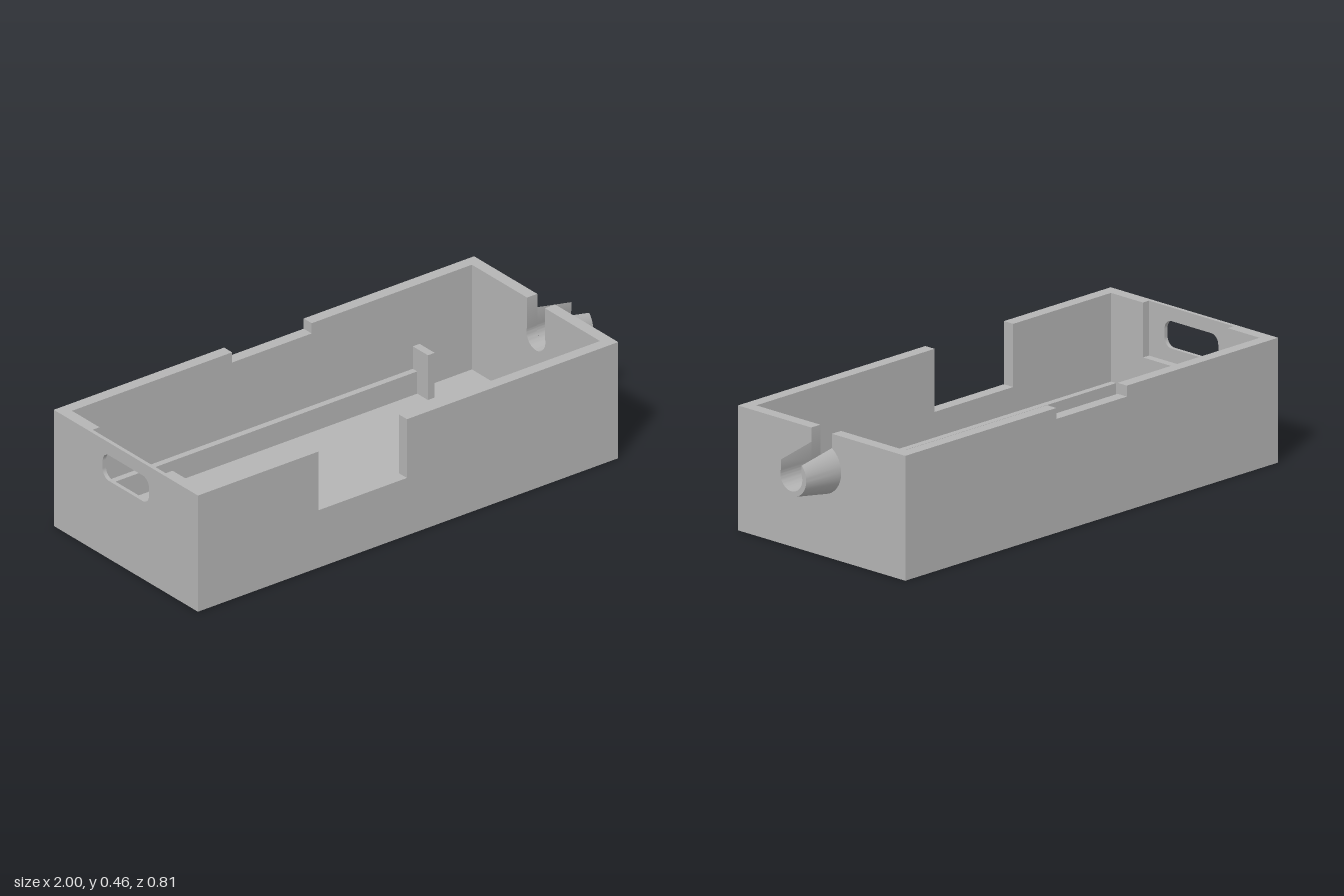
import * as THREE from 'three';
import { toCreasedNormals } from 'three/addons/utils/BufferGeometryUtils.js';

const X0 = -1, X1 = 0.85, H = 0.455, Z = 0.405, WALL = 0.045;
const IN = Z - WALL;                                   // inner half width
const BORE_Y = 0.322, BORE_R = 0.053, SLOT = 0.05;     // cable opening

const grey = new THREE.MeshStandardMaterial({ color: 0xb4b4b4 });
grey.name = 'plain grey';

function add(group, name, geometry) {
  const mesh = new THREE.Mesh(geometry, grey);
  mesh.name = name;
  group.add(mesh);
}

// Box given by its limits
function block(x0, x1, y0, y1, z0, z1) {
  return new THREE.BoxGeometry(x1 - x0, y1 - y0, z1 - z0)
    .translate((x0 + x1) / 2, (y0 + y1) / 2, (z0 + z1) / 2);
}

// Upright wall outline with a rectangular notch in its top edge
function notched(a, b, n0, n1, floorY) {
  return new THREE.Shape([[a, 0], [b, 0], [b, H], [n1, H], [n1, floorY], [n0, floorY], [n0, H], [a, H]]
    .map(([x, y]) => new THREE.Vector2(x, y)));
}

const extrude = (shape, depth) =>
  new THREE.ExtrudeGeometry(shape, { depth, bevelEnabled: false, curveSegments: 24 });

// Wall across the model, between x0 and x1
const endWall = (shape, x0, x1) => extrude(shape, x1 - x0).rotateY(Math.PI / 2).translate(x0, 0, 0);

// Rounded slot used as the end window
function roundedSlot(w, y0, y1, r) {
  const p = new THREE.Path();
  p.absarc(w - r, y0 + r, r, -Math.PI / 2, 0);
  p.absarc(w - r, y1 - r, r, 0, Math.PI / 2);
  p.absarc(-w + r, y1 - r, r, Math.PI / 2, Math.PI);
  p.absarc(-w + r, y0 + r, r, Math.PI, Math.PI * 1.5);
  p.closePath();
  return p;
}

// Tapered spout, cut open along its top by the cable slot
function spoutGeometry(x0, x1, r0, r1) {
  const N = 40, pos = [];
  const arc = (x, r) => Array.from({ length: N + 1 }, (_, i) => {
    const a = Math.asin(SLOT / r), t = a + (i / N) * 2 * (Math.PI - a);
    return [x, BORE_Y + r * Math.cos(t), r * Math.sin(t)];
  });
  const quad = (a, b, c, d) => pos.push(...a, ...b, ...c, ...a, ...c, ...d);
  const outA = arc(x0, r0), outB = arc(x1, r1);
  const inA = arc(x0, BORE_R), inB = arc(x1, BORE_R);
  for (let i = 0; i < N; i++) {
    quad(outA[i], outA[i + 1], outB[i + 1], outB[i]);
    quad(inA[i + 1], inA[i], inB[i], inB[i + 1]);
    quad(outB[i], outB[i + 1], inB[i + 1], inB[i]);
  }
  quad(outA[N], inA[N], inB[N], outB[N]);
  quad(inA[0], outA[0], outB[0], inB[0]);
  const g = new THREE.BufferGeometry();
  g.setAttribute('position', new THREE.Float32BufferAttribute(pos, 3));
  return toCreasedNormals(g, 0.5);
}

export function createModel() {
  const model = new THREE.Group();
  model.name = 'openCase';

  // Floor and long walls
  add(model, 'floor', block(X0 + WALL, X1 - WALL, 0, 0.045, -IN, IN));
  add(model, 'frontWall', extrude(notched(X0, X1, -0.47, -0.08, 0.225), WALL).translate(0, 0, IN));
  add(model, 'backWall', extrude(notched(X0, X1, -0.25, 0.1, 0.415), WALL).translate(0, 0, -Z));

  // Right end: thin window plate with a pocketed lining behind it
  const plate = new THREE.Shape([[-IN, 0], [IN, 0], [IN, H], [-IN, H]].map(([x, y]) => new THREE.Vector2(x, y)));
  plate.holes.push(roundedSlot(0.13, 0.305, 0.405, 0.035));
  add(model, 'windowPlate', endWall(plate, X0, X0 + 0.015));
  add(model, 'windowLining', endWall(notched(-IN, IN, -0.205, 0.205, 0.255), X0 + 0.015, X0 + WALL));

  // Left end: keyhole opening and spout
  const key = new THREE.Shape();
  const a = Math.acos(SLOT / BORE_R);
  key.moveTo(-IN, 0);
  key.lineTo(IN, 0);
  key.lineTo(IN, H);
  key.lineTo(SLOT, H);
  key.absarc(0, BORE_Y, BORE_R, a, Math.PI - a, true);
  key.lineTo(-SLOT, H);
  key.lineTo(-IN, H);
  key.closePath();
  add(model, 'spoutWall', toCreasedNormals(endWall(key, X1 - WALL, X1), 0.5));
  add(model, 'spout', spoutGeometry(X1, 1, 0.095, 0.072));

  // Inner rails and stop tabs, mirrored
  for (const s of [1, -1]) {
    const side = s > 0 ? 'front' : 'back';
    const span = (z) => (s > 0 ? [z, IN] : [-IN, -z]);
    add(model, side + 'Rail', block(X0 + WALL, 0.545, 0.045, 0.132, ...span(0.335)));
    add(model, side + 'StopTab', block(0.545, 0.575, 0.045, 0.22, ...span(0.275)));
  }
  return model;
}
